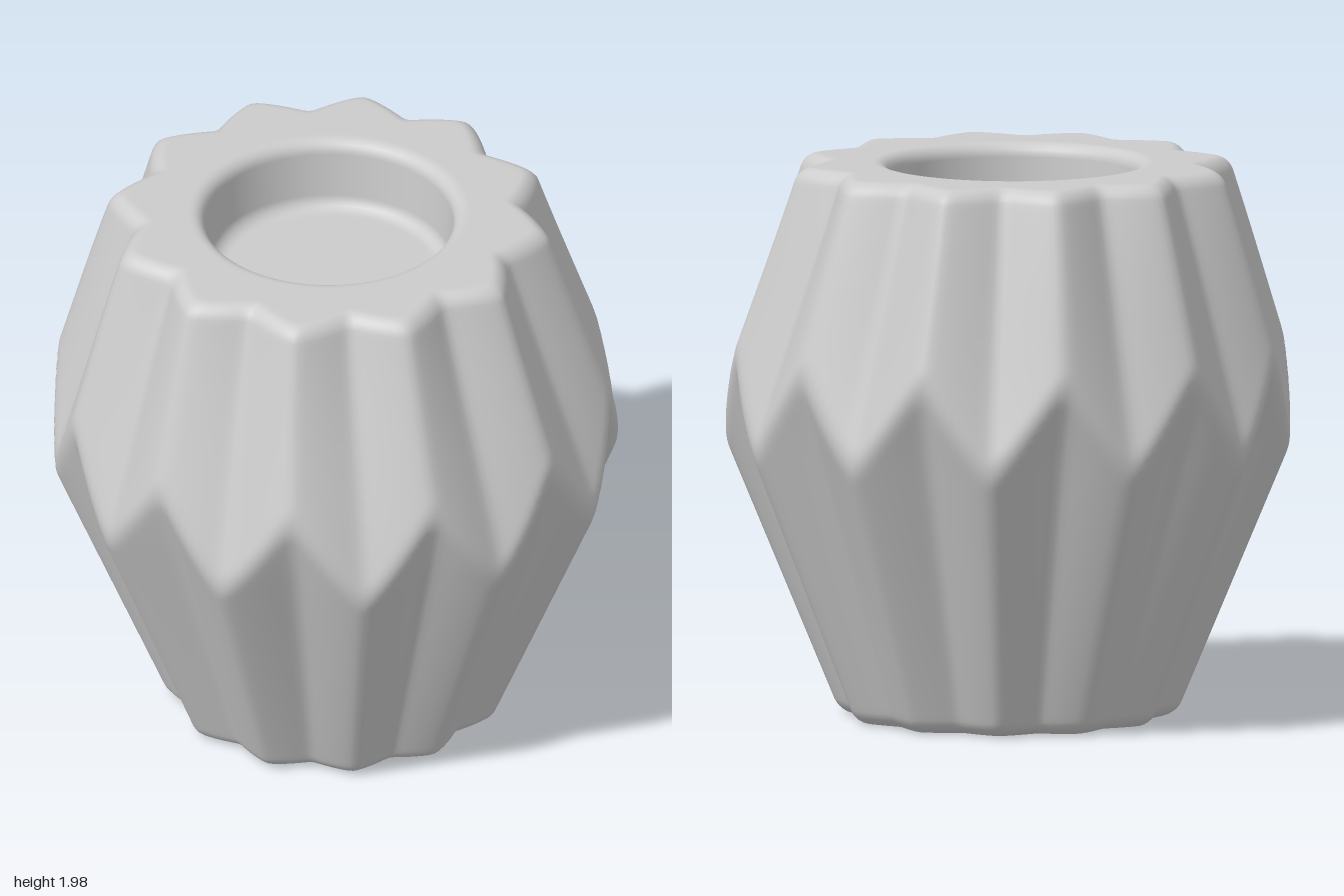
import * as THREE from 'three';

const PLEATS = 12, SEG = 240, TOP = 1.98, FILLET = 0.05;
const RIDGE = THREE.MathUtils.degToRad(18); // direction of the first upper ridge

// Slightly rounded triangle wave, 1 on a ridge and 0 in a valley
const pleat = (a) => 0.5 + 0.5 * Math.asin(0.96 * Math.cos(PLEATS * a)) / Math.asin(0.96);
const line = (y, y0, r0, y1, r1) => r0 + (r1 - r0) * (y - y0) / (y1 - y0);
const smoothMin = (a, b, k) => {
  const h = Math.max(k - Math.abs(a - b), 0) / k;
  return Math.min(a, b) - h * h * k / 4;
};

// Two pleated cones, half a pleat out of step, meet in a zigzag waist
function sideRadius(a, y) {
  const up = pleat(a - RIDGE), low = 1 - up;
  const upper = THREE.MathUtils.lerp(line(y, 1.0, 1.01, 1.92, 0.7), line(y, 1.3, 1.0, 1.92, 0.795), up);
  const lower = THREE.MathUtils.lerp(line(y, 1.3, 1.0, 0.05, 0.56), line(y, 1.0, 1.01, 0.05, 0.615), low);
  return smoothMin(upper, lower, 0.045);
}

// Every row is { y, r(angle) }, from the underside centre up, over the rim and into the well
function makeRows() {
  const rows = [];
  const add = (y, r) => rows.push({ y, r });
  const edge = (y, inset) => (a) => sideRadius(a, y) - inset;

  // underside
  for (const s of [0, 0.5, 0.9]) add(0, (a) => s * (sideRadius(a, 0) - FILLET));
  // lower rounded edge
  for (let i = 0; i <= 6; i++) {
    const t = (i / 6) * Math.PI / 2;
    const y = FILLET * (1 - Math.cos(t));
    add(y, edge(y, FILLET * (1 - Math.sin(t))));
  }
  // pleated side
  const n = 90;
  for (let i = 1; i < n; i++) {
    const y = FILLET + (TOP - 2 * FILLET) * i / n;
    add(y, edge(y, 0));
  }
  // upper rounded edge
  for (let i = 0; i <= 6; i++) {
    const t = (i / 6) * Math.PI / 2;
    const y = TOP - FILLET * (1 - Math.sin(t));
    add(y, edge(y, FILLET * (1 - Math.cos(t))));
  }
  // flat top, blending from the star outline to the round well
  for (const s of [0.1, 0.4, 0.7, 0.95, 1]) {
    add(TOP, (a) => THREE.MathUtils.lerp(sideRadius(a, TOP) - FILLET, 0.49, s));
  }
  // well: rounded lip, wall, rounded foot, floor
  for (let i = 1; i <= 6; i++) {
    const t = (i / 6) * Math.PI / 2;
    add(TOP - 0.05 * (1 - Math.cos(t)), () => 0.49 - 0.05 * Math.sin(t));
  }
  const floor = TOP - 0.26;
  for (let i = 0; i <= 6; i++) {
    const t = (i / 6) * Math.PI / 2;
    add(floor + 0.05 * (1 - Math.sin(t)), () => 0.43 - 0.05 * (1 - Math.cos(t)));
  }
  for (const r of [0.36, 0.2, 0]) add(floor, () => r);
  return rows;
}

export function createModel() {
  const rows = makeRows(), pos = [], index = [];
  rows.forEach(({ y, r }, i) => {
    // the upper half leans slightly to the back
    const lean = -0.04 * THREE.MathUtils.smoothstep(y, 1, TOP);
    for (let j = 0; j < SEG; j++) {
      const a = (j / SEG) * Math.PI * 2, rad = r(a);
      pos.push(rad * Math.cos(a), y, rad * Math.sin(a) + lean);
      if (i === rows.length - 1) continue;
      const k = (j + 1) % SEG, p = i * SEG, q = p + SEG;
      index.push(p + j, q + j, p + k, p + k, q + j, q + k);
    }
  });
  const geometry = new THREE.BufferGeometry();
  geometry.setAttribute('position', new THREE.Float32BufferAttribute(pos, 3));
  geometry.setIndex(index);
  geometry.computeVertexNormals();

  const holder = new THREE.Mesh(geometry, new THREE.MeshStandardMaterial({ color: 0xcccccc }));
  holder.name = 'pleatedCandleHolder';
  const group = new THREE.Group();
  group.name = 'candleHolder';
  group.add(holder);
  return group;
}
